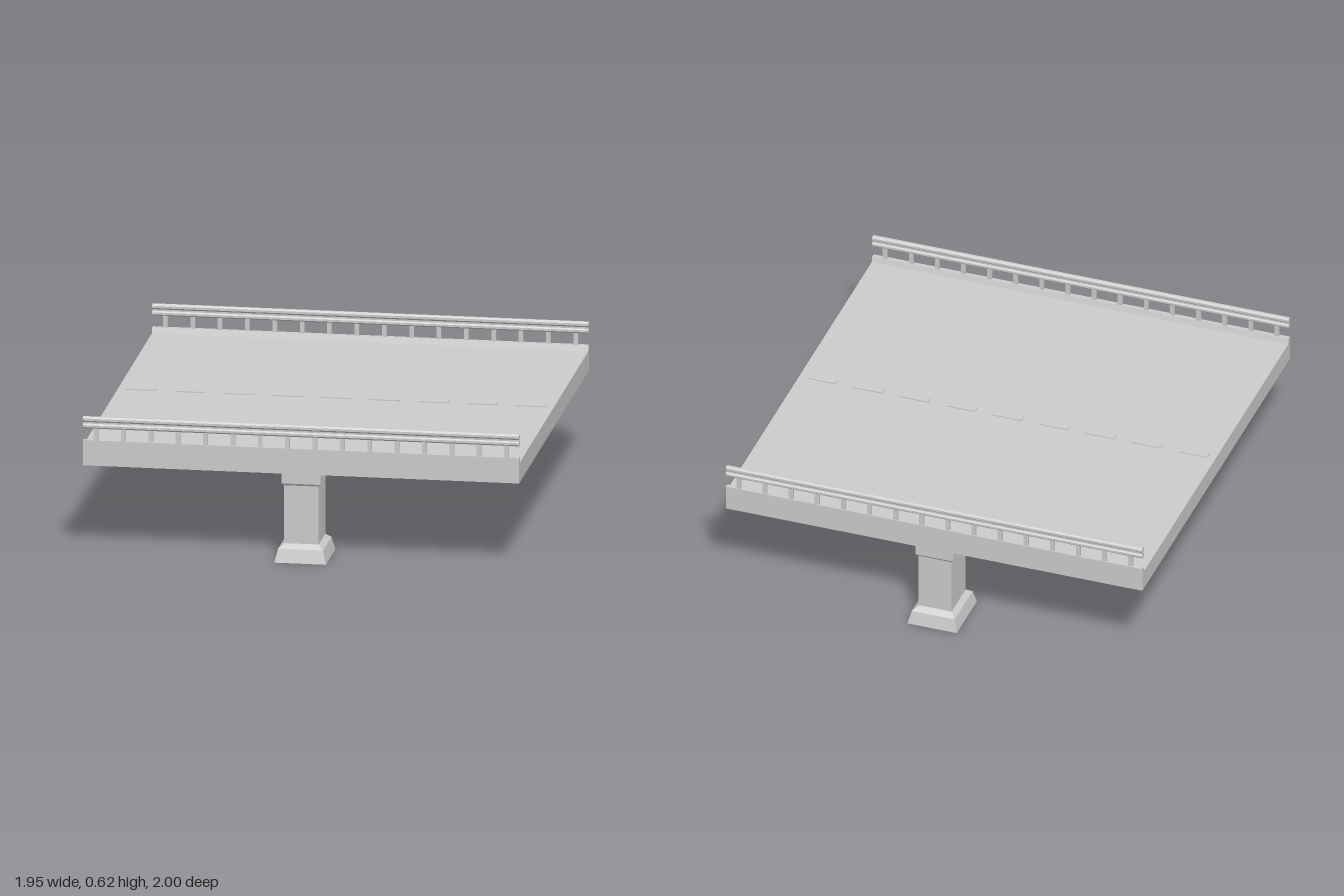
import * as THREE from 'three';

const LENGTH = 1.945;
const material = new THREE.MeshStandardMaterial({ color: 0xcccccc, flatShading: true });

function add(parent, name, geometry, x = 0, y = 0, z = 0) {
  const mesh = new THREE.Mesh(geometry, material);
  mesh.name = name;
  mesh.position.set(x, y, z);
  parent.add(mesh);
  return mesh;
}

// Extrudes a cross-section of [z, y] points along the x axis, centred
function extrudeAlongX(points) {
  const shape = new THREE.Shape(points.map(([z, y]) => new THREE.Vector2(-z, y)));
  const geometry = new THREE.ExtrudeGeometry(shape, { depth: LENGTH, bevelEnabled: false });
  return geometry.translate(0, 0, -LENGTH / 2).rotateY(Math.PI / 2);
}

// Closed stack of rectangular sections [y, halfX, halfZ], listed upwards
function rectLoft(sections) {
  const positions = [];
  const index = [];
  for (const [y, a, b] of sections) positions.push(-a, y, b, a, y, b, a, y, -b, -a, y, -b);
  for (let s = 0; s < sections.length - 1; s++) {
    for (let i = 0; i < 4; i++) {
      const p = s * 4 + i, q = s * 4 + (i + 1) % 4;
      index.push(p, q, q + 4, p, q + 4, p + 4);
    }
  }
  const t = (sections.length - 1) * 4;
  index.push(0, 2, 1, 0, 3, 2, t, t + 1, t + 2, t, t + 2, t + 3);
  const geometry = new THREE.BufferGeometry();
  geometry.setAttribute('position', new THREE.Float32BufferAttribute(positions, 3));
  geometry.setIndex(index);
  const flat = geometry.toNonIndexed();
  flat.computeVertexNormals();
  return flat;
}

function createPier() {
  const pier = new THREE.Group();
  pier.name = 'pier';
  add(pier, 'pierBase', rectLoft([[0, 0.115, 0.133], [0.06, 0.1, 0.118], [0.08, 0.077, 0.093]]));
  add(pier, 'pierShaft', rectLoft([[0.08, 0.077, 0.093], [0.35, 0.077, 0.093]]));
  add(pier, 'pierCap', rectLoft([[0.345, 0.08, 0.097], [0.355, 0.087, 0.104], [0.4, 0.087, 0.104]]));
  return pier;
}

function createRailing() {
  const railing = new THREE.Group();
  railing.name = 'railing';
  // Two stacked octagonal bars joined by a thin web
  for (const [name, y, r] of [['topRail', 0.609, 0.013], ['lowerRail', 0.579, 0.012]]) {
    const bar = new THREE.CylinderGeometry(r, r, LENGTH, 8).rotateY(Math.PI / 8).rotateZ(Math.PI / 2);
    add(railing, name, bar, 0, y);
  }
  add(railing, 'railWeb', new THREE.BoxGeometry(LENGTH, 0.03, 0.01), 0, 0.594);
  // Evenly spaced posts
  const post = new THREE.BoxGeometry(0.02, 0.065, 0.012);
  for (let i = 0; i < 16; i++) add(railing, 'railPost', post, (i - 7.5) * 0.122, 0.54);
  return railing;
}

export function createModel() {
  const group = new THREE.Group();
  group.name = 'bridgeSection';

  // Road slab with a sloped curb along both sides
  add(group, 'deck', extrudeAlongX([
    [-0.973, 0.4], [0.973, 0.4], [0.973, 0.515], [0.954, 0.515], [0.946, 0.49],
    [-0.946, 0.49], [-0.954, 0.515], [-0.973, 0.515],
  ].reverse()));

  // Raised dashes along the centre line
  const dash = new THREE.BoxGeometry(0.135, 0.006, 0.032);
  for (let i = -4; i <= 4; i++) add(group, 'laneDash', dash, i * 0.217, 0.492);

  // A pier and a railing on each side
  for (const side of [1, -1]) {
    const pier = createPier();
    pier.position.z = side * 0.867;
    const railing = createRailing();
    railing.position.z = side * 0.963;
    group.add(pier, railing);
  }
  return group;
}
